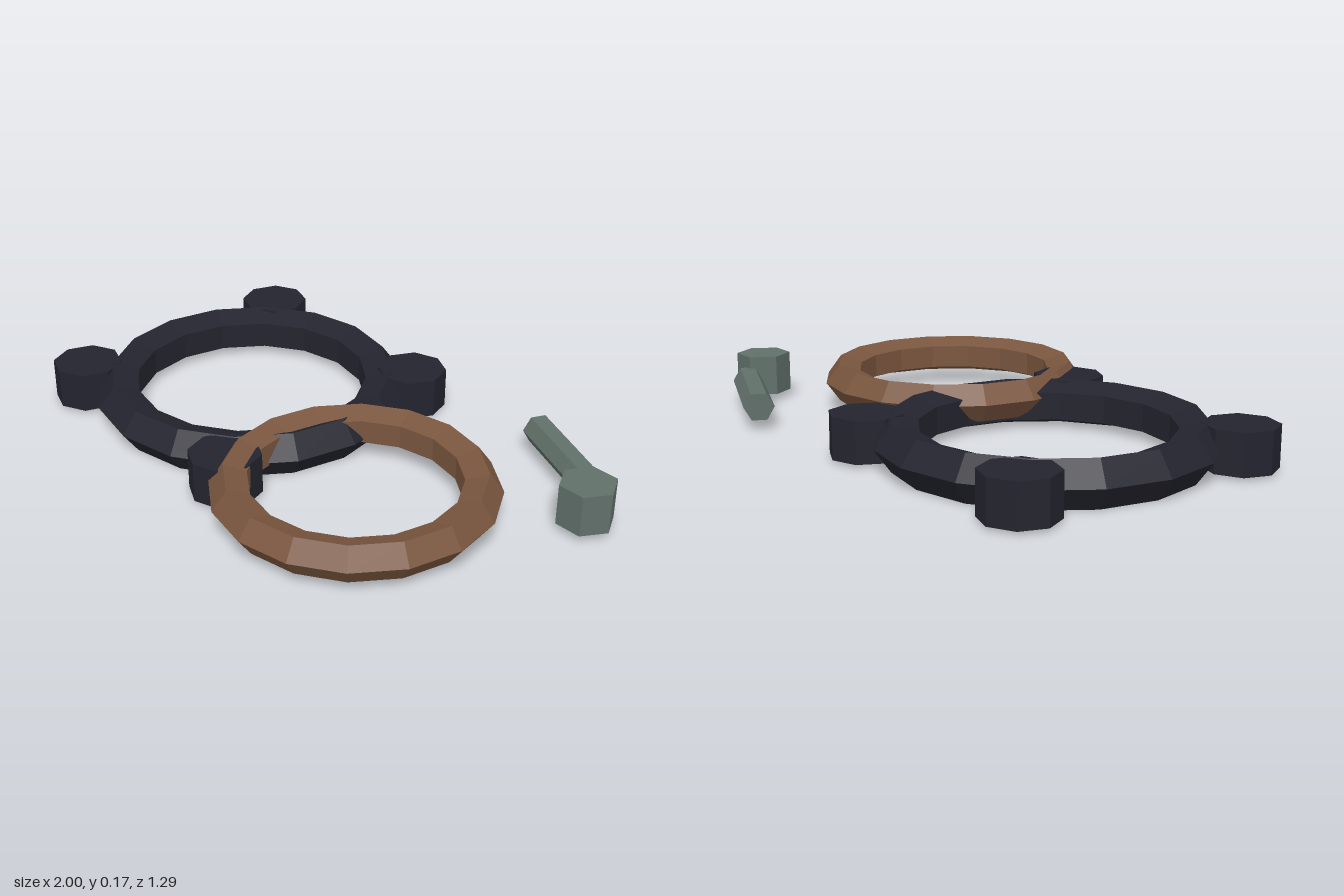
import * as THREE from 'three';

const material = (name, color) => {
  const m = new THREE.MeshStandardMaterial({ color, flatShading: true });
  m.name = name;
  return m;
};

export function createModel() {
  const model = new THREE.Group();
  model.name = 'ringsAndBolt';
  const darkIron = material('darkIron', 0x24242f);
  const copper = material('copper', 0x7a563f);
  const greySteel = material('greySteel', 0x61706a);

  const add = (name, geometry, mat, x, y, z, parent = model) => {
    const mesh = new THREE.Mesh(geometry, mat);
    mesh.name = name;
    mesh.position.set(x, y, z);
    parent.add(mesh);
    return mesh;
  };

  // Flat-lying ring with a five-sided section, its ridge facing outwards
  const ring = (radius, tube) => new THREE.TorusGeometry(radius, tube, 5, 16).rotateX(Math.PI / 2);

  // Large flange with four octagonal lugs
  const flange = new THREE.Group();
  flange.name = 'flange';
  model.add(flange);
  add('flangeRing', ring(0.485, 0.082), darkIron, -0.432, 0.078, -0.045, flange);
  const lugGeometry = new THREE.CylinderGeometry(0.125, 0.125, 0.143, 8);
  const lugs = [[-0.84, -0.485, 0.06], [-0.045, -0.485, -0.06], [-0.87, 0.38, 0.06], [-0.02, 0.395, -0.06]];
  for (const [x, z, turn] of lugs) {
    add('lug', lugGeometry, darkIron, x, 0.081, z, flange).rotation.y = turn;
  }

  // Smaller ring resting across the flange
  add('copperRing', ring(0.407, 0.07), copper, 0.365, 0.107, 0.163);

  // Hexagonal bolt lying beside the rings
  const bolt = new THREE.Group();
  bolt.name = 'bolt';
  model.add(bolt);
  const head = new THREE.CylinderGeometry(0.098, 0.098, 0.144, 6).rotateY(Math.PI / 6);
  add('boltHead', head, greySteel, 0.9, 0.098, -0.343, bolt);
  const shaft = new THREE.CylinderGeometry(0.054, 0.054, 0.435, 6).rotateZ(Math.PI / 2);
  add('boltShaft', shaft, greySteel, 0.669, 0.081, -0.513, bolt).rotation.y = -0.4;

  return model;
}
